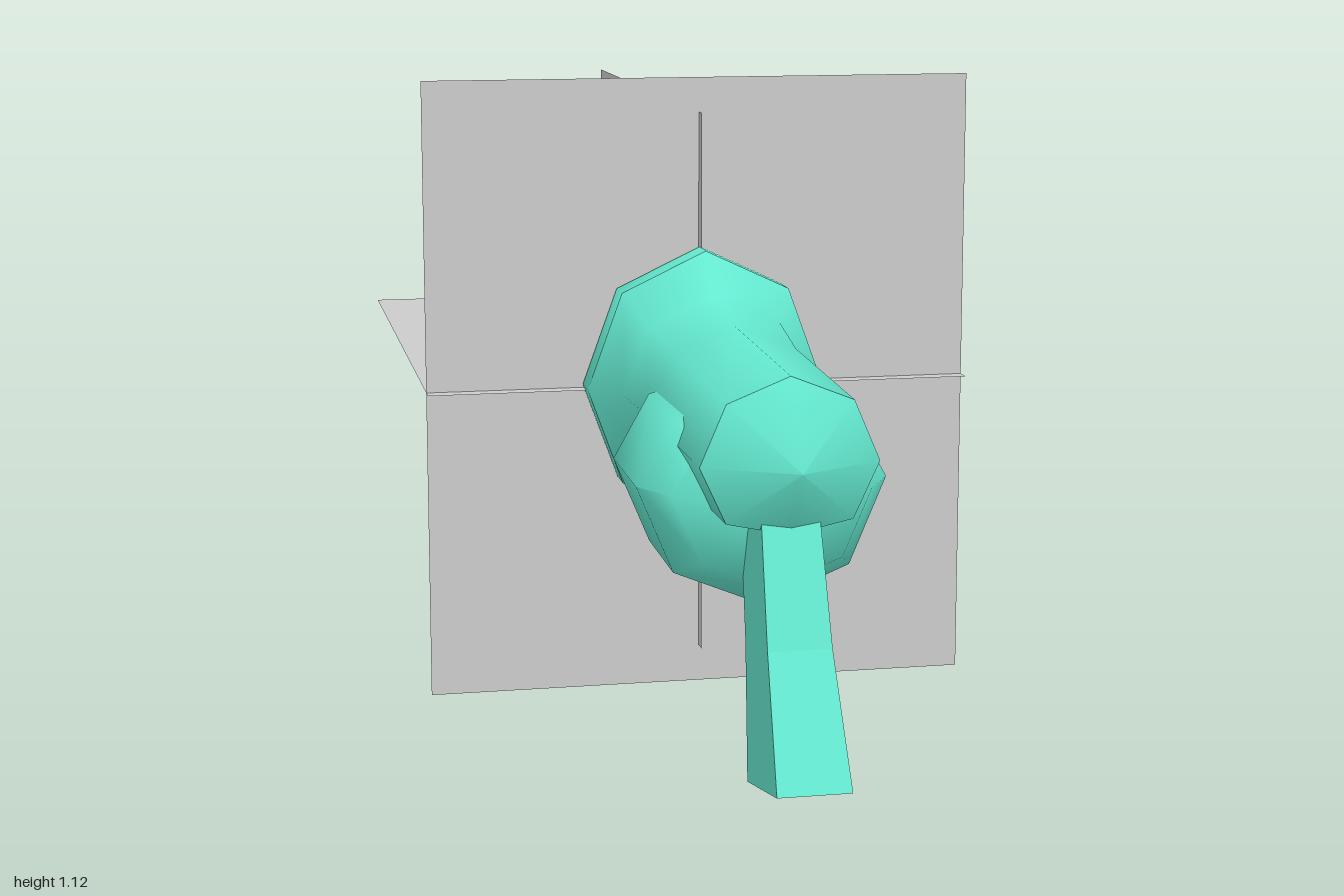
import * as THREE from 'three';
import { toCreasedNormals } from 'three/addons/utils/BufferGeometryUtils.js';

const teal = new THREE.MeshStandardMaterial({ color: 0x64e8cf });
const grey = new THREE.MeshStandardMaterial({ color: 0xcccccc, side: THREE.DoubleSide });

// Skin a list of rings (counterclockwise seen from the last ring's end), with flat end caps.
function loft(rings, crease) {
  const pos = [];
  const tri = (a, b, c) => {
    const area = new THREE.Vector3().crossVectors(b.clone().sub(a), c.clone().sub(a)).length();
    if (area > 1e-7) pos.push(...a.toArray(), ...b.toArray(), ...c.toArray());
  };
  const n = rings[0].length;
  for (let r = 0; r < rings.length - 1; r++) {
    const a = rings[r], b = rings[r + 1];
    for (let i = 0; i < n; i++) {
      const j = (i + 1) % n;
      tri(a[i], a[j], b[j]);
      tri(a[i], b[j], b[i]);
    }
  }
  const first = rings[0], last = rings[rings.length - 1];
  for (let i = 1; i < n - 1; i++) {
    tri(first[0], first[i + 1], first[i]);
    tri(last[0], last[i], last[i + 1]);
  }
  const g = new THREE.BufferGeometry();
  g.setAttribute('position', new THREE.Float32BufferAttribute(pos, 3));
  return toCreasedNormals(g, crease);
}

// Octagon in the xy plane with a corner on top; upper and lower radii may differ.
function octagon(z, cy, rx, up, down = up) {
  return Array.from({ length: 8 }, (_, i) => {
    const t = (i * Math.PI) / 4, s = Math.sin(t);
    return new THREE.Vector3(rx * Math.cos(t), cy + s * (s > 0 ? up : down), z);
  });
}

export function createModel() {
  const model = new THREE.Group();
  const add = (name, geometry, material = teal) => {
    const mesh = new THREE.Mesh(geometry, material);
    mesh.name = name;
    model.add(mesh);
    return mesh;
  };
  const smooth = 0.96;

  // Barrel: muzzle ring, flared body and pointed rear cap
  const rim = octagon(0.155, 0.57, 0.215, 0.245);
  const rear = octagon(0.82, 0.57, 0.145, 0.14, 0.13);
  rear[6].y = 0.456;
  add('muzzleRing', loft([octagon(0.097, 0.57, 0.215, 0.245), rim], smooth));
  add('barrel', loft([
    rim,
    octagon(0.24, 0.575, 0.165, 0.17, 0.165),
    octagon(0.4, 0.572, 0.153, 0.148, 0.142),
    rear,
  ], smooth));
  add('rearCap', loft([rear, octagon(0.905, 0.572, 0, 0)], smooth));

  // Rounded housing slung under the barrel
  add('housing', loft([
    octagon(0.4, 0.498, 0.21, 0.155, 0.208),
    octagon(0.62, 0.498, 0.21, 0.155, 0.208),
    octagon(0.7, 0.498, 0.165, 0.12, 0.16),
    octagon(0.745, 0.48, 0, 0),
  ], smooth));

  // Short tube in front of the housing
  const tube = add('lowerTube', toCreasedNormals(new THREE.CylinderGeometry(0.055, 0.055, 0.17, 8), smooth));
  tube.rotation.x = Math.PI / 2;
  tube.position.set(0, 0.398, 0.335);

  // Handle: tapering four-sided grip, listed as [half width, back z, back y, front z, front y]
  const grip = [
    [0.06, 1.0, 0.09, 0.79, 0.045],
    [0.052, 0.895, 0.29, 0.735, 0.26],
    [0.047, 0.82, 0.5, 0.68, 0.42],
  ].map(([w, zb, yb, zf, yf]) => [
    new THREE.Vector3(w, yb, zb), new THREE.Vector3(w, yf, zf),
    new THREE.Vector3(-w, yf, zf), new THREE.Vector3(-w, yb, zb),
  ]);
  add('handle', loft(grip, 0.1));

  // Trigger: curved side profile drawn in (z, y), extruded across x
  const profile = new THREE.Shape([
    [0.637, 0.17], [0.665, 0.17], [0.665, 0.26], [0.655, 0.285],
    [0.64, 0.32], [0.61, 0.32], [0.628, 0.285], [0.637, 0.25],
  ].map(([z, y]) => new THREE.Vector2(-z, y)));
  const triggerShape = new THREE.ExtrudeGeometry(profile, { depth: 0.03, bevelEnabled: false });
  triggerShape.translate(0, 0, -0.015);
  triggerShape.rotateY(Math.PI / 2);
  add('trigger', triggerShape);

  // Three crossed sheets ahead of the muzzle
  add('crossSheet', new THREE.PlaneGeometry(0.995, 1.12), grey).position.set(0, 0.56, 0.09);
  const upright = add('uprightSheet', new THREE.PlaneGeometry(1.12, 0.99), grey);
  upright.rotation.y = Math.PI / 2;
  upright.position.set(0, 0.563, -0.44);
  const level = add('levelSheet', new THREE.PlaneGeometry(0.995, 1.12), grey);
  level.rotation.x = -Math.PI / 2;
  level.position.set(0, 0.563, -0.44);

  return model;
}
